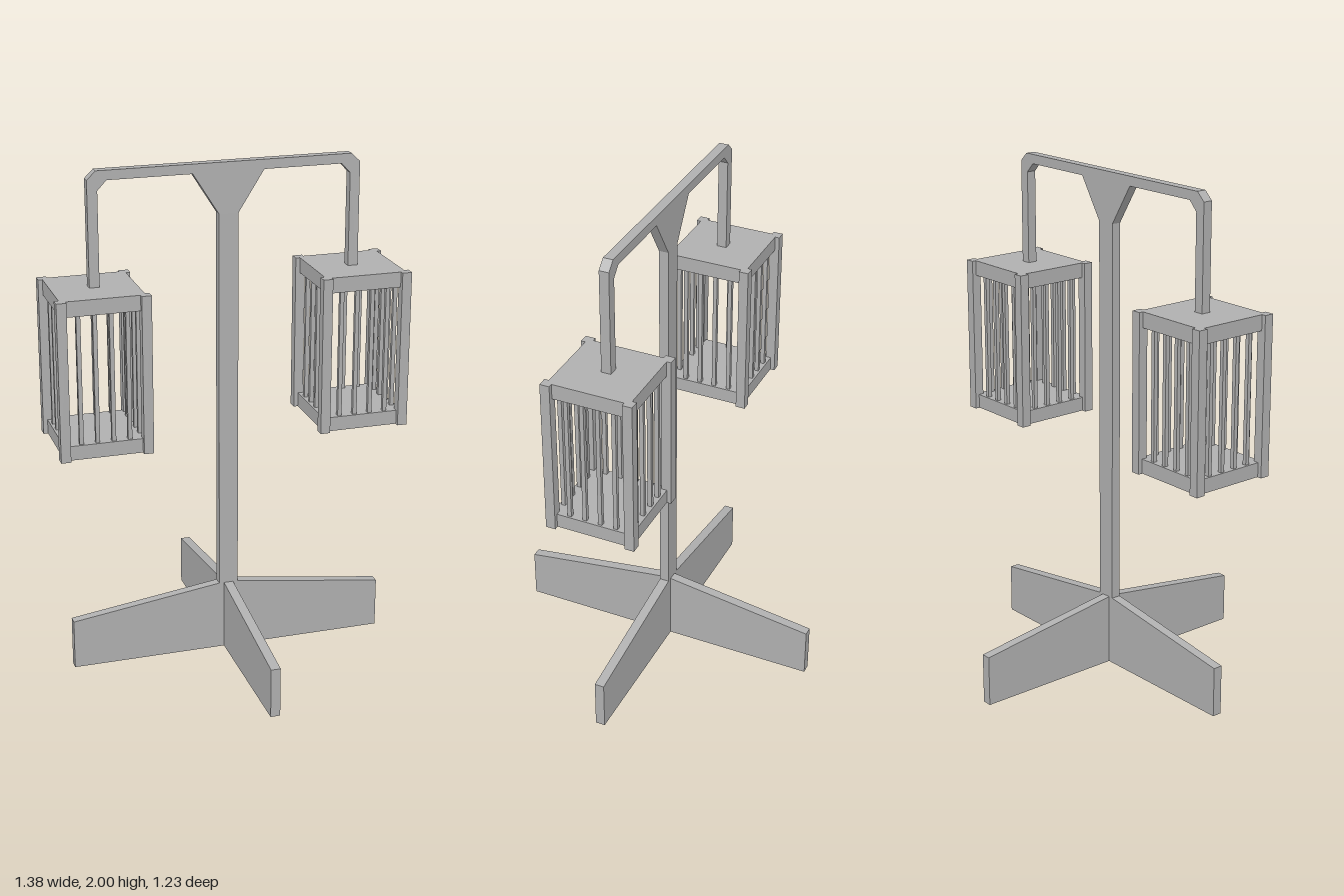
import * as THREE from 'three';

const T = 0.038; // thickness of all flat timbers
const CX = 0.0075; // x of the post's middle

export function createModel() {
  const model = new THREE.Group();
  model.name = 'twinLanternPost';
  const grey = new THREE.MeshStandardMaterial({ color: 0xb0b0b0 });
  grey.name = 'grey';

  const box = (parent, name, w, h, d, x, y, z) => {
    const mesh = new THREE.Mesh(new THREE.BoxGeometry(w, h, d), grey);
    mesh.name = name;
    mesh.position.set(x, y, z);
    parent.add(mesh);
    return mesh;
  };

  // Flat board cut from an outline in the xy plane, centred on z = 0
  const board = (name, points) => {
    const shape = new THREE.Shape(points.map(([x, y]) => new THREE.Vector2(x, y)));
    const geometry = new THREE.ExtrudeGeometry(shape, { depth: T, bevelEnabled: false });
    geometry.translate(0, 0, -T / 2);
    const mesh = new THREE.Mesh(geometry, grey);
    mesh.name = name;
    model.add(mesh);
    return mesh;
  };

  // Crossed feet, tapering outwards from the post
  const foot = (name, reach, flat) => board(name, [
    [-reach, 0], [reach, 0], [reach, 0.2], [flat, 0.284], [-flat, 0.284], [-reach, 0.2],
  ]);
  foot('footAcross', 0.638, 0.038).position.x = CX;
  const footAlong = foot('footAlong', 0.617, 0.019);
  footAlong.rotation.y = Math.PI / 2;
  footAlong.position.x = CX;

  // Post, gusset, crossbar and drop arms in one outline
  board('postAndArms', [
    [-0.031, 0.27], [0.046, 0.27], [0.046, 1.805], [0.146, 1.963],
    [0.452, 1.963], [0.487, 1.926], [0.487, 1.55], [0.526, 1.55],
    [0.526, 1.967], [0.492, 2], [-0.497, 2], [-0.531, 1.967],
    [-0.531, 1.55], [-0.492, 1.55], [-0.492, 1.926], [-0.457, 1.963],
    [-0.131, 1.963], [-0.031, 1.805],
  ]);

  // Hanging lantern cages
  for (const [name, x] of [['rightLantern', -0.513], ['leftLantern', 0.509]]) {
    const lantern = new THREE.Group();
    lantern.name = name;
    lantern.position.x = x;
    model.add(lantern);

    box(lantern, 'topPlate', 0.322, 0.06, 0.322, 0, 1.532, 0);
    box(lantern, 'bottomPlate', 0.322, 0.056, 0.322, 0, 0.973, 0);
    for (const sx of [-1, 1]) {
      for (const sz of [-1, 1]) {
        box(lantern, 'cornerPost', T, 0.618, T, sx * 0.159, 1.253, sz * 0.159);
      }
    }

    // Four slim bars on each side
    for (const offset of [-0.093, -0.031, 0.031, 0.093]) {
      for (const side of [-0.145, 0.145]) {
        box(lantern, 'bar', 0.016, 0.51, 0.016, offset, 1.25, side);
        box(lantern, 'bar', 0.016, 0.51, 0.016, side, 1.25, offset);
      }
    }
  }
  return model;
}
